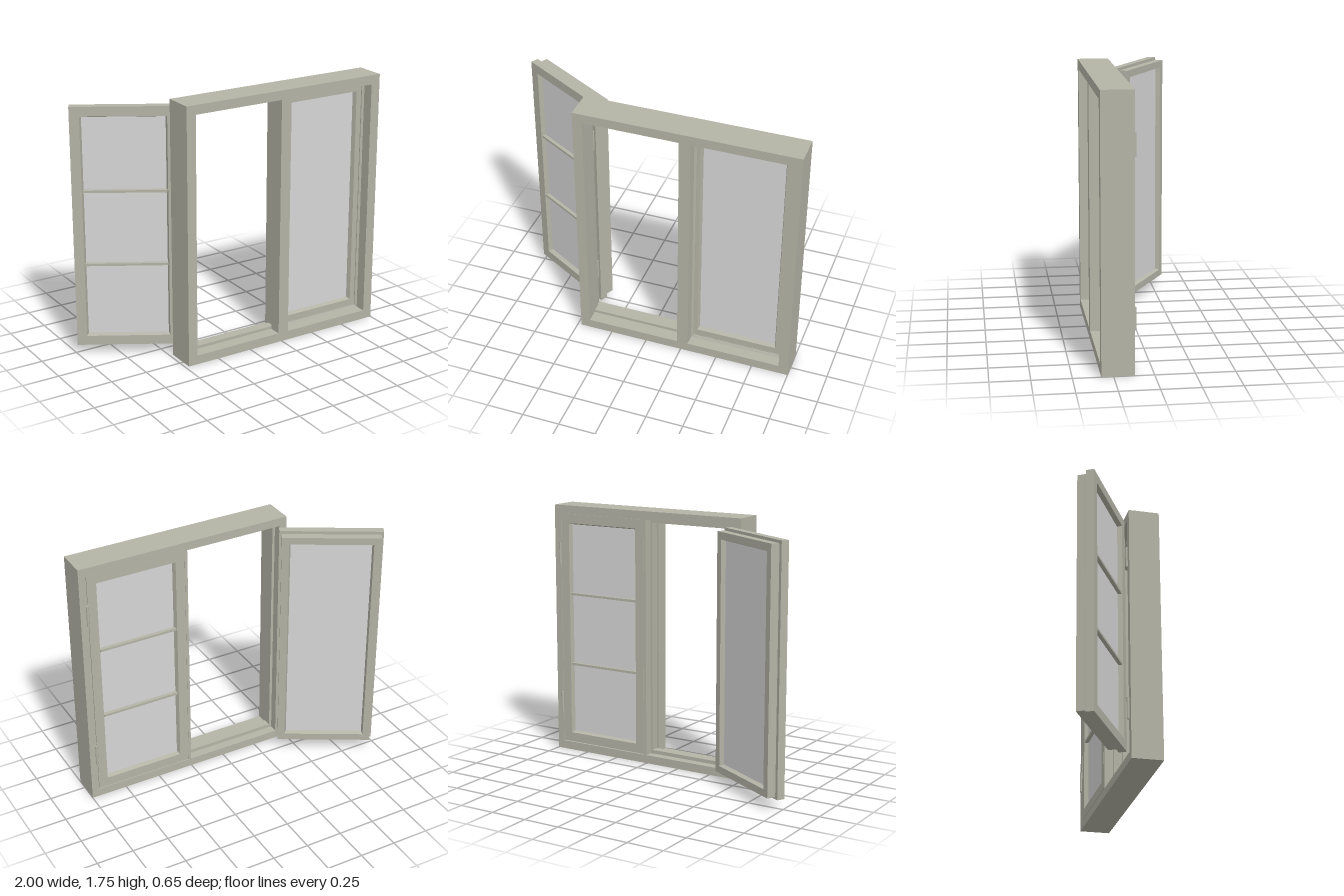
import * as THREE from 'three';

const frameMat = new THREE.MeshStandardMaterial({ color: 0xb3b3a6 });
frameMat.name = 'greyPaint';
const glassMat = new THREE.MeshStandardMaterial({ color: 0xd6d6d6 });
glassMat.name = 'paleGlass';

// Mitred rectangular frame: a closed profile of [insetX, insetY, z] swept round four corners.
function mitredFrame(name, x0, y0, x1, y1, profile) {
  const corner = ([ix, iy, z], c) => [
    c === 1 || c === 2 ? x1 - ix : x0 + ix,
    c >= 2 ? y1 - iy : y0 + iy,
    z,
  ];
  const pos = [];
  profile.forEach((p, k) => {
    const q = profile[(k + 1) % profile.length];
    for (let c = 0; c < 4; c++) {
      const n = (c + 1) % 4;
      const [a, b, d, e] = [corner(p, c), corner(p, n), corner(q, n), corner(q, c)];
      pos.push(...a, ...b, ...d, ...a, ...d, ...e);
    }
  });
  const g = new THREE.BufferGeometry();
  g.setAttribute('position', new THREE.Float32BufferAttribute(pos, 3));
  g.computeVertexNormals();
  const mesh = new THREE.Mesh(g, frameMat);
  mesh.name = name;
  return mesh;
}

// Box given by its two opposite corners
function block(name, x0, x1, y0, y1, z0, z1, mat = frameMat) {
  const mesh = new THREE.Mesh(new THREE.BoxGeometry(x1 - x0, y1 - y0, z1 - z0), mat);
  mesh.position.set((x0 + x1) / 2, (y0 + y1) / 2, (z0 + z1) / 2);
  mesh.name = name;
  return mesh;
}

const W = 0.675, BOTTOM = 0.0625, TOP = 1.6875;

// Sash: wide rear lip, groove, narrower front layer, splayed glazing edges, pane and bars.
// Its rear face lies at z = 0 and its side edge at x = 0.
function makeSash(name) {
  const sash = new THREE.Group();
  sash.name = name;
  const profile = [
    [0, 0], [0, 0.052], [0.024, 0.052], [0.024, 0.06], [0.0165, 0.06], [0.0165, 0.115],
    [0.064, 0.115], [0.074, 0.085], [0.074, 0.03], [0.064, 0],
  ].map(([i, z]) => [i, i, z]);
  sash.add(mitredFrame('sashFrame', 0, BOTTOM, W, TOP, profile));
  sash.add(block('pane', 0.07, W - 0.07, BOTTOM + 0.07, TOP - 0.07, 0.03, 0.085, glassMat));
  for (const y of [0.627, 1.127]) {
    sash.add(block('glazingBar', 0.068, W - 0.068, y - 0.008, y + 0.008, 0.005, 0.032));
  }
  return sash;
}

export function createModel() {
  const model = new THREE.Group();
  model.name = 'casementWindow';

  // Outer frame with rebates for the sashes
  model.add(mitredFrame('outerFrame', -0.475, 0, 1, 1.745, [
    [0, 0, 0.12], [0, 0, 0.325], [0.065, 0.062, 0.325], [0.065, 0.062, 0.237],
    [0.068, 0.082, 0.237], [0.068, 0.082, 0.18], [0.05, 0.057, 0.18], [0.05, 0.057, 0.12],
  ]));

  // Central mullion, stepped in depth
  const mullion = new THREE.Group();
  mullion.name = 'mullion';
  for (const [half, z0, z1] of [[0.0375, 0.237, 0.325], [0.023, 0.178, 0.237], [0.0095, 0.12, 0.178]]) {
    mullion.add(block('mullionStep', 0.2615 - half, 0.2615 + half, 0.056, 1.69, z0, z1));
  }
  model.add(mullion);

  // Closed sash with a thin sealing bead in front
  const closed = makeSash('closedSash');
  closed.position.set(0.272, 0, 0.12);
  model.add(closed);
  model.add(mitredFrame('sealBead', 0.299, 0.062, 0.935, 1.683, [
    [0, 0, 0.236], [0, 0, 0.25], [0.015, 0.015, 0.243], [0.015, 0.015, 0.236],
  ]));

  // Open sash, swung out to the rear
  const open = makeSash('openSash');
  open.position.set(-0.413, 0, 0.107);
  open.rotation.y = THREE.MathUtils.degToRad(150);
  model.add(open);

  // Hinge knuckles and leaves
  for (const [x, side] of [[-0.428, -1], [0.952, 1]]) {
    for (const y of [0.346, 1.412]) {
      const hinge = new THREE.Group();
      hinge.name = 'hinge';
      const knuckle = new THREE.Mesh(new THREE.CylinderGeometry(0.009, 0.009, 0.145, 12), frameMat);
      knuckle.name = 'hingeKnuckle';
      hinge.add(knuckle);
      hinge.add(block('hingeLeaf', -0.003, 0.003, -0.0725, 0.0725, 0, 0.04));
      hinge.position.set(x + side * 0.001, y, 0.114);
      model.add(hinge);
    }
  }
  return model;
}
